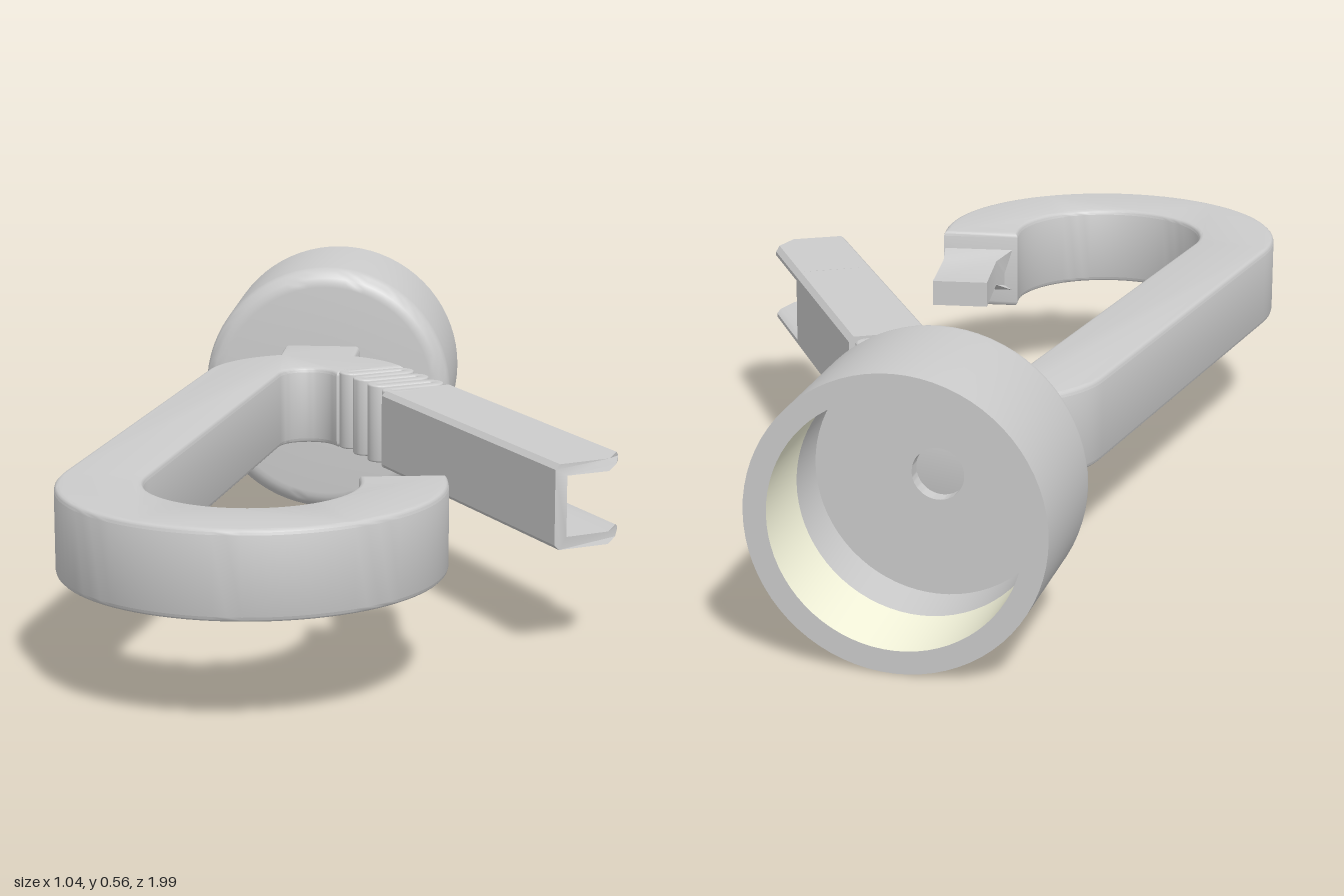
import * as THREE from 'three';
import { toCreasedNormals } from 'three/addons/utils/BufferGeometryUtils.js';

const HEIGHT = 0.168, MID_Y = 0.299;
const TOP = [-0.155, -0.36], BOTTOM = [-0.155, 0.625];   // centres of the two loop bends (x, z)
const LEAN = 0.1427;                                     // lean of the straight sides
const GATE_ANGLE = 0.539;                                // swing of the gate

const grey = () => new THREE.MeshStandardMaterial({ color: 0xcccccc });

function add(parent, name, geometry, material = grey()) {
  const mesh = new THREE.Mesh(toCreasedNormals(geometry, 0.65), material);
  mesh.name = name;
  parent.add(mesh);
  return mesh;
}

const toShape = (pts) => new THREE.Shape(pts.map(([a, b]) => new THREE.Vector2(a, b)));

// points on an arc in the (x, z) plane
function arc([cx, cz], r, a0, a1, n) {
  return Array.from({ length: n + 1 }, (_, i) => {
    const a = a0 + (a1 - a0) * i / n;
    return [cx + r * Math.cos(a), cz + r * Math.sin(a)];
  });
}

// plan outline (x, z) extruded vertically about y = 0 with rounded edges
function slab(pts, height, bevel) {
  const geo = new THREE.ExtrudeGeometry(toShape(pts), {
    depth: height - 2 * bevel, bevelEnabled: true, bevelSize: bevel,
    bevelThickness: bevel, bevelOffset: -bevel, bevelSegments: 3,
  });
  return geo.rotateX(Math.PI / 2).translate(0, height / 2 - bevel, 0);
}

// closed outline of a band of given half width along a centre line
function band(line, half) {
  const left = [], right = [];
  line.forEach(([x, z], i) => {
    const p = line[Math.max(i - 1, 0)], q = line[Math.min(i + 1, line.length - 1)];
    const l = Math.hypot(q[0] - p[0], q[1] - p[1]);
    const nx = -(q[1] - p[1]) / l * half, nz = (q[0] - p[0]) / l * half;
    left.push([x + nx, z + nz]);
    right.unshift([x - nx, z - nz]);
  });
  return [...left, ...right];
}

// hook loop with neck, open on the gate side
function hookOutline() {
  const neck = Math.asin(0.085 / 0.225), up = -Math.PI / 2;
  const leftA = -Math.PI + LEAN;
  const shift = ([x, z], s, a) => [x - Math.sin(a) * s, z - Math.cos(a) * s];
  const outer = arc(BOTTOM, 0.365, Math.PI + LEAN, -LEAN, 48);
  const inner = arc(BOTTOM, 0.2, -LEAN, Math.PI + LEAN, 40);
  const topOuter = arc(TOP, 0.225, -GATE_ANGLE, up + neck, 10);
  const topInner = arc(TOP, 0.062, leftA, -GATE_ANGLE, 18);
  return [
    shift(topOuter[0], -0.014, -GATE_ANGLE * -1),
    ...topOuter,
    [TOP[0] + 0.085, -0.69], [TOP[0] - 0.085, -0.69],
    ...arc(TOP, 0.225, up - neck, leftA, 12),
    ...outer, shift(outer.at(-1), 0.03, LEAN),
    shift(inner[0], 0.03, LEAN), ...inner,
    ...topInner, shift(topInner.at(-1), -0.014, GATE_ANGLE),
  ];
}

// folded spring: eight strands joined by alternating U-turns
function springLine() {
  const pitch = 0.035, r = pitch / 2, lo = 0.097, hi = 0.197;
  const line = [[0.15, 0.0025]];
  for (let k = 0; k < 7; k++) {
    const z = 0.0025 + pitch * (k + 0.5);
    line.push(...(k % 2 === 0
      ? arc([lo, z], r, -Math.PI / 2, -Math.PI * 1.5, 10)
      : arc([hi, z], r, -Math.PI / 2, Math.PI / 2, 10)));
  }
  line.push([0.15, 0.0025 + pitch * 7]);
  return line;
}

function createGate() {
  const gate = new THREE.Group();
  gate.name = 'gate';
  gate.position.set(TOP[0], MID_Y, TOP[1]);
  gate.rotation.y = GATE_ANGLE;
  add(gate, 'foldedSpring', slab(springLine().length ? band(springLine(), 0.0115) : [], HEIGHT, 0.004));

  const h = HEIGHT / 2, c = 0.01, x0 = 0.062, x1 = 0.231, knee = 0.18, in0 = 0.088, inY = 0.06;
  const extrude = (pts, z0, z1) => new THREE.ExtrudeGeometry(toShape(pts),
    { depth: z1 - z0, bevelEnabled: false }).translate(0, 0, z0);

  // solid part of the arm
  add(gate, 'gateArm', extrude([
    [x0 + c, -h], [x1 - c, -h], [x1, -h + c], [x1, h - c],
    [x1 - c, h], [x0 + c, h], [x0, h - c], [x0, -h + c],
  ], 0.236, 0.72));

  // channel-shaped tip, open outwards and at its end
  const half = [[in0, inY], [knee, inY - 0.0004], [x1 - c, inY], [x1, inY + 0.006],
    [x1, h - c], [x1 - c, h], [knee, h + 0.0004], [x0 + c, h], [x0, h - c]];
  const tip = extrude([...half, ...half.map(([x, y]) => [x, -y]).reverse()], 0.72, 0.981);
  const p = tip.attributes.position;
  for (let i = 0; i < p.count; i++) {
    if (p.getZ(i) > 0.9) p.setZ(i, 0.981 - Math.max(0, p.getX(i) - knee) * 1.06);
  }
  tip.computeVertexNormals();
  add(gate, 'gateTip', tip);
  return gate;
}

// latch tongue that flares where it meets the hook end
function createTongue() {
  const half = [[0, 0.046], [0.03, 0.046], [0.058, 0.027], [0.232, 0.027]];
  const geo = new THREE.ExtrudeGeometry(
    toShape([...half, ...half.map(([s, y]) => [s, -y]).reverse()]),
    { depth: 0.118, bevelEnabled: false },
  ).rotateY(Math.PI / 2).translate(0.244, 0, 0);
  const p = geo.attributes.position;
  for (let i = 0; i < p.count; i++) {
    if (Math.abs(p.getY(i)) > 0.03 && p.getX(i) < 0.3) p.setX(i, 0.212);
  }
  geo.computeVertexNormals();
  const group = new THREE.Group();
  group.name = 'latchTongue';
  group.position.set(BOTTOM[0], MID_Y, BOTTOM[1]);
  group.rotation.y = LEAN;
  add(group, 'tongue', geo);
  return group;
}

// round cup, open at the back, with a pale inner wall
function createCup() {
  const cup = new THREE.Group();
  cup.name = 'cup';
  cup.position.set(-0.146, 0.279, -0.67);
  cup.rotation.x = -Math.PI / 2;
  const lathe = (pts) => new THREE.LatheGeometry(pts.map(([r, y]) => new THREE.Vector2(r, y)), 72);
  const R = 0.2785, f = 0.04, r = 0.235, depth = 0.33, floor = 0.05;
  const both = (color) => new THREE.MeshStandardMaterial({ color, side: THREE.DoubleSide });
  add(cup, 'cupShell', lathe([
    [0.05, floor], [0.05, 0], ...arc([R - f, f], f, -Math.PI / 2, 0, 6), [R, depth], [r, depth],
  ]), both(0xcccccc));
  add(cup, 'cupLiner', lathe([[r, depth], [r, 0.16]]), both(0xf5f5dc));
  add(cup, 'cupFloor', lathe([[r, 0.16], [r, floor], [0.05, floor]]), both(0xcccccc));
  return cup;
}

export function createModel() {
  const model = new THREE.Group();
  model.name = 'snapHook';
  add(model, 'hookLoop', slab(hookOutline(), HEIGHT, 0.01)).position.y = MID_Y;
  model.add(createGate(), createTongue(), createCup());
  return model;
}
